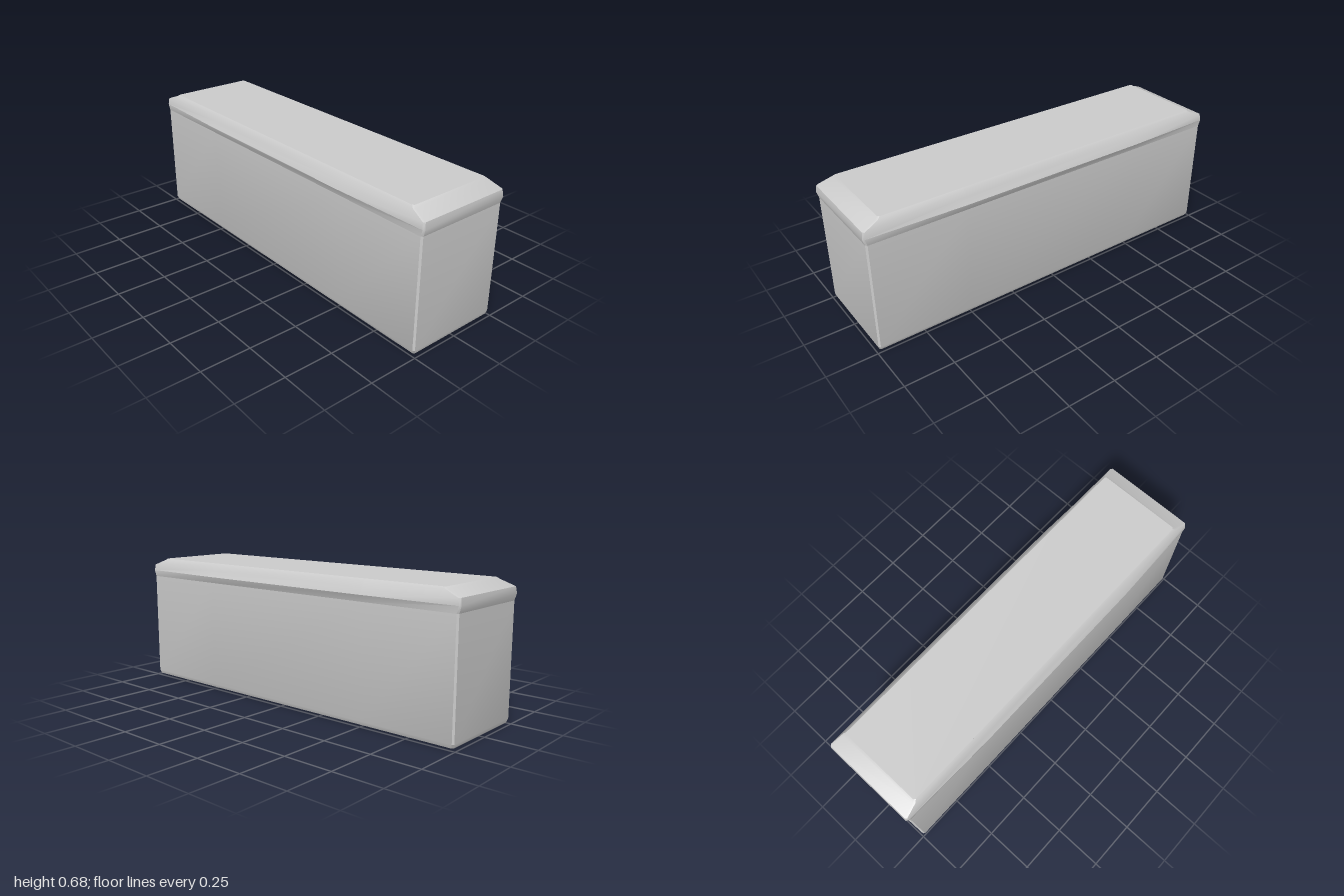
import * as THREE from 'three';
import { toCreasedNormals } from 'three/addons/utils/BufferGeometryUtils.js';

// Rectangle outline with clipped corners and optionally bulging long sides,
// anticlockwise as seen from above.
function ring({ y, hx, hz, bulge = 0 }) {
  const c = 0.008;
  const half = [
    [-hx + c, hz], [-0.5, hz + bulge], [0.5, hz + bulge],
    [hx - c, hz], [hx, hz - c], [hx, -hz + c],
  ];
  const outline = [...half, ...half.map(([x, z]) => [-x, -z])];
  return outline.map(([x, z]) => [x, y, z]);
}

// Skin a stack of rings from bottom to top and cap both ends.
function loft(levels) {
  const rings = levels.map(ring);
  const n = rings[0].length;
  const index = [];
  for (let r = 0; r < rings.length - 1; r++) {
    for (let i = 0; i < n; i++) {
      const a = r * n + i;
      const b = r * n + ((i + 1) % n);
      index.push(a, b, b + n, a, b + n, a + n);
    }
  }
  const top = (rings.length - 1) * n;
  for (let i = 1; i < n - 1; i++) {
    index.push(0, i + 1, i);
    index.push(top, top + i, top + i + 1);
  }
  const geometry = new THREE.BufferGeometry();
  geometry.setAttribute('position', new THREE.Float32BufferAttribute(rings.flat(2), 3));
  geometry.setIndex(index);
  return toCreasedNormals(geometry, 0.45);
}

export function createModel() {
  const group = new THREE.Group();
  group.name = 'lidded box';
  const material = new THREE.MeshStandardMaterial({ color: 0xcccccc });

  const addPart = (name, levels) => {
    const mesh = new THREE.Mesh(loft(levels), material);
    mesh.name = name;
    group.add(mesh);
  };

  // Box body with bevelled bottom edges
  addPart('body', [
    { y: 0, hx: 0.972, hz: 0.222 },
    { y: 0.008, hx: 0.984, hz: 0.24 },
    { y: 0.027, hx: 0.99, hz: 0.248 },
    { y: 0.58, hx: 0.99, hz: 0.248 },
  ]);

  // Lid with a flared rim, swelling along the long sides, and sloped shoulders
  addPart('lid', [
    { y: 0.58, hx: 0.99, hz: 0.248 },
    { y: 0.613, hx: 1.0, hz: 0.25, bulge: 0.013 },
    { y: 0.645, hx: 0.995, hz: 0.246 },
    { y: 0.673, hx: 0.925, hz: 0.231 },
    { y: 0.682, hx: 0.912, hz: 0.222 },
  ]);

  return group;
}
